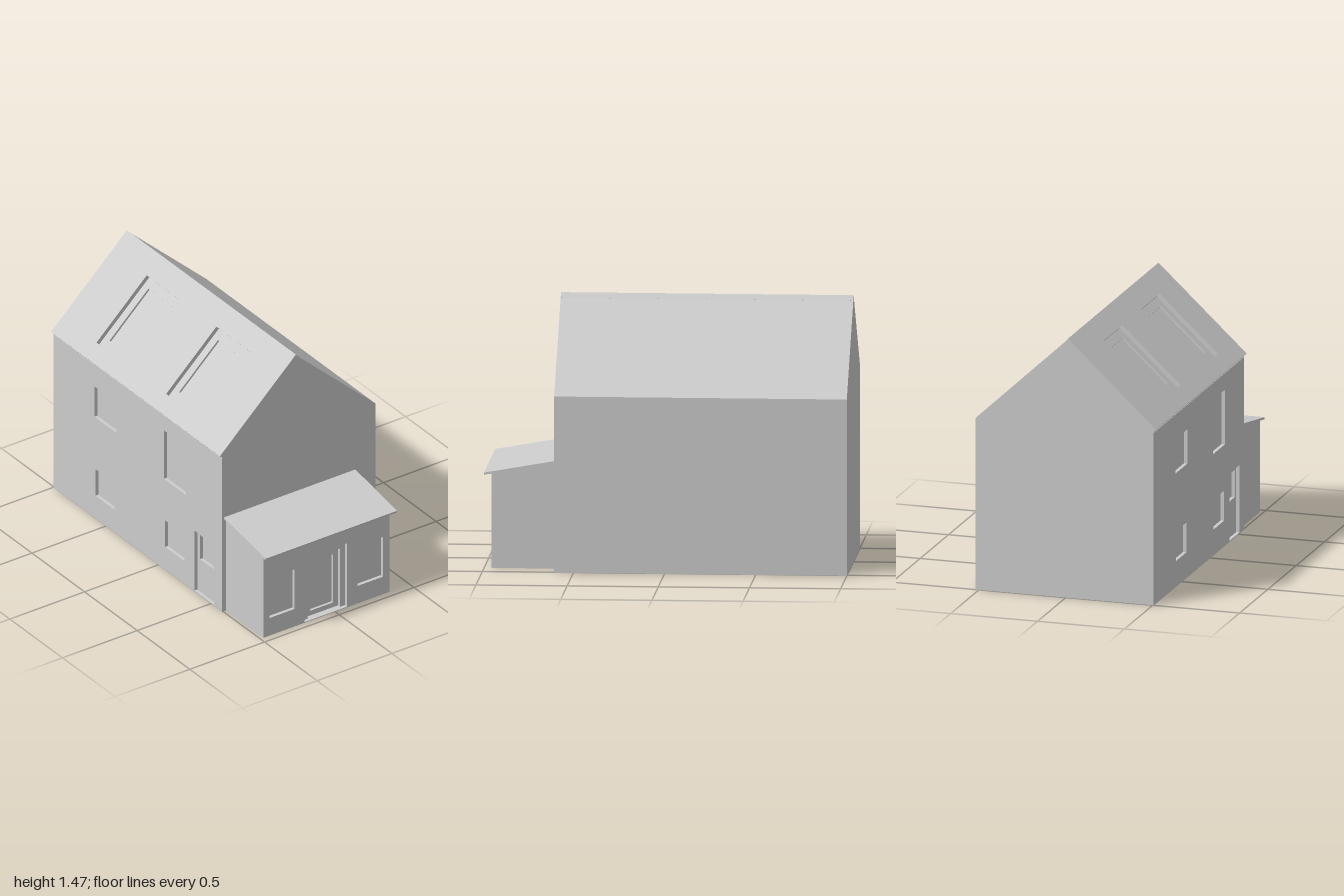
import * as THREE from 'three';

const material = new THREE.MeshStandardMaterial({ color: 0xcccccc, flatShading: true });

function shapeFrom(points) {
  return new THREE.Shape(points.map(([x, y]) => new THREE.Vector2(x, y)));
}

function rectPoints([x0, y0, x1, y1]) {
  return [[x0, y0], [x1, y0], [x1, y1], [x0, y1]];
}

function extrude(name, shape, depth) {
  const geometry = new THREE.ExtrudeGeometry(shape, { depth, bevelEnabled: false });
  const mesh = new THREE.Mesh(geometry, material);
  mesh.name = name;
  return mesh;
}

// Flat layer with rectangular openings; rects are [x0, y0, x1, y1], z is its inner face
function layer(name, outline, openings, z, depth) {
  const shape = shapeFrom(rectPoints(outline));
  for (const r of openings) shape.holes.push(new THREE.Path(shapeFrom(rectPoints(r)).getPoints()));
  const mesh = extrude(name, shape, depth);
  mesh.position.z = z;
  return mesh;
}

// Solid made from a (z, y) profile running along x
function alongX(name, profile, x0, x1) {
  const mesh = extrude(name, shapeFrom(profile.map(([z, y]) => [-z, y])), x1 - x0);
  mesh.rotation.y = Math.PI / 2;
  mesh.position.x = x0;
  return mesh;
}

export function createModel() {
  const model = new THREE.Group();
  model.name = 'house';
  const X0 = -1, X1 = 0.605, SILL = 0.004;

  // Main block with gable ends and rear roof slope
  model.add(alongX('houseBody', [
    [0.465, 0], [0.465, 1.001], [-0.013, 1.446], [-0.52, 0.975], [-0.52, 0],
  ], X0, X1));

  // Front wall in two layers: window and door recesses, then the door pane
  const wall = new THREE.Group();
  wall.name = 'frontWall';
  wall.add(
    layer('frontWallFace', [X0, 0, X1, 0.98], [
      [-0.61, 0.645, -0.4, 0.84], [0.05, 0.575, 0.262, 0.885],
      [-0.6, 0.145, -0.42, 0.315], [0.062, 0.145, 0.245, 0.315],
      [0.34, SILL, 0.525, 0.388],
    ], 0.485, 0.02),
    layer('frontDoor', [X0, 0, X1, 1.0], [[0.365, 0.21, 0.5, 0.365]], 0.465, 0.02),
  );
  model.add(wall);

  // Front roof slope, drawn flat from the ridge down and then tilted
  const roof = new THREE.Group();
  roof.name = 'frontRoof';
  const rise = 0.473, run = 0.508, length = Math.hypot(rise, run);
  const skylights = [-0.672, -0.01];
  roof.add(
    layer('roofFace', [X0, -length, X1, 0],
      skylights.map((x) => [x, -0.594, x + 0.333, -0.135]), -0.025, 0.025),
    layer('skylightFrames', [X0, -length, X1, 0],
      skylights.map((x) => [x + 0.047, -0.543, x + 0.283, -0.188]), -0.037, 0.012),
  );
  roof.rotation.x = -Math.atan2(run, rise);
  roof.position.set(0, 1.473, 0.012);
  model.add(roof);

  // Side annex
  const AZ0 = -0.363, AZ1 = 0.48;
  const annex = extrude('annexBody', shapeFrom([[0.6, 0], [0.905, 0], [0.905, 0.534], [0.6, 0.588]]), AZ1 - AZ0);
  annex.position.z = AZ0;
  model.add(annex);

  // Annex end wall: stepped door recess between two windows
  const endWall = new THREE.Group();
  endWall.name = 'annexEndWall';
  endWall.add(
    layer('annexWallFace', [-AZ1, 0, -AZ0, 0.526], [
      [-0.437, 0.112, -0.272, 0.365], [0.15, 0.112, 0.32, 0.365],
      [-0.205, SILL, 0.08, 0.41],
    ], 0.94, 0.02),
    layer('annexDoorFrame', [-AZ1, 0, -AZ0, 0.53], [[-0.17, SILL, 0.047, 0.377]], 0.92, 0.02),
    layer('annexDoor', [-AZ1, 0, -AZ0, 0.535], [[-0.138, 0.034, 0.015, 0.342]], 0.905, 0.015),
  );
  endWall.rotation.y = Math.PI / 2;
  model.add(endWall);

  // Lean-to roof over the annex
  const leanTo = extrude('annexRoof', shapeFrom([[0.6, 0.588], [0.998, 0.518], [1.0, 0.53], [0.6, 0.6]]), 0.88);
  leanTo.position.z = -0.386;
  model.add(leanTo);

  return model;
}
